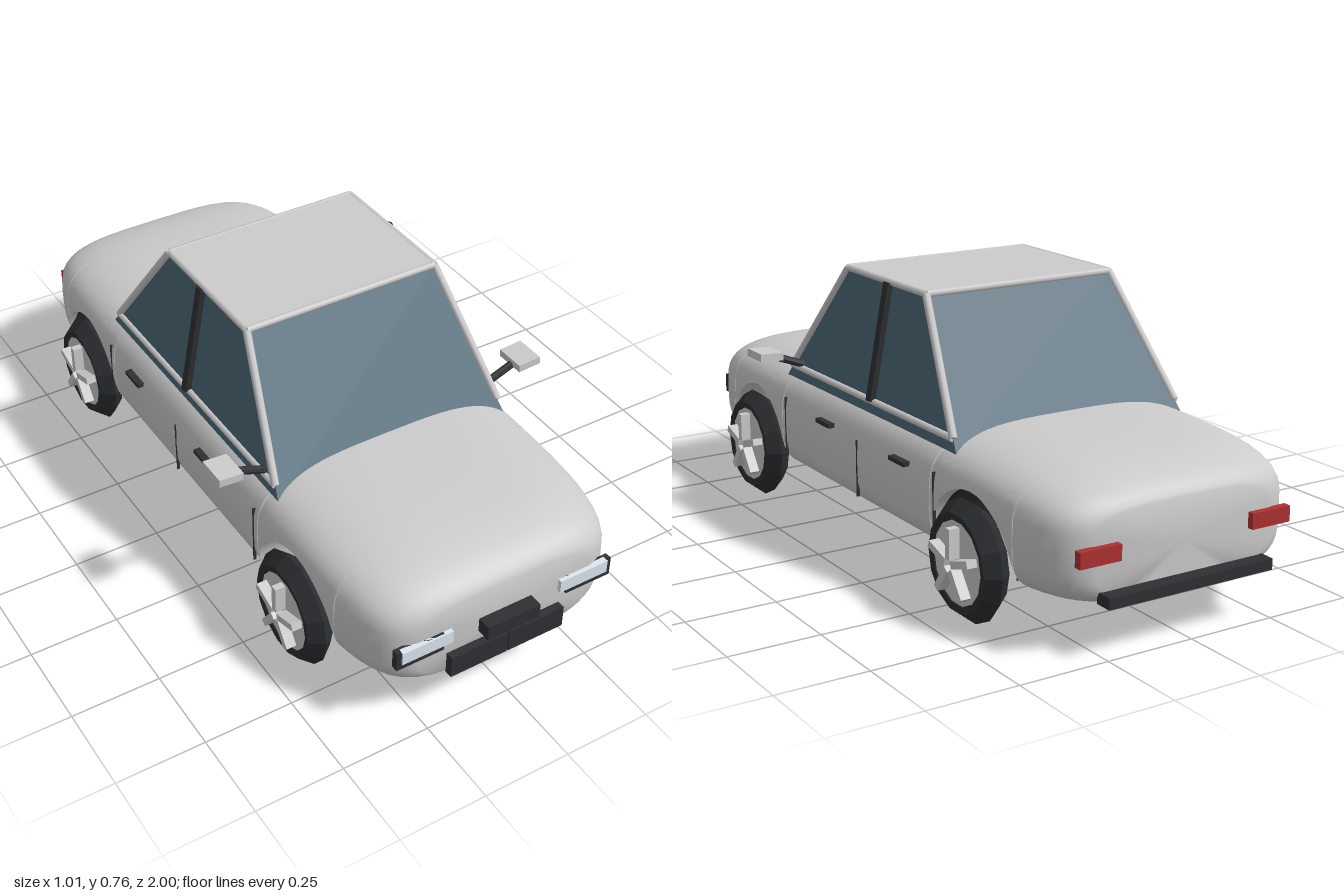
import * as THREE from 'three';
import { toCreasedNormals } from 'three/addons/utils/BufferGeometryUtils.js';
import { ConvexGeometry } from 'three/addons/geometries/ConvexGeometry.js';

const mat = (color, flatShading = false) =>
  new THREE.MeshStandardMaterial({ color, flatShading, side: THREE.DoubleSide });
const V = (x, y, z) => new THREE.Vector3(x, y, z);
const ARCHES = [-0.61, 0.59], AXLE_Y = 0.163, ARCH_R = 0.18;

// One body cross-section: a superellipse that is cut off flat at height yb
function section(z, yb) {
  const N = 44, L = 0.968, cy = 0.27, u = Math.abs(z) / L;
  const w = 0.4 * (1 - u ** 7) ** (1 / 7);
  const up = 0.183 * (1 - u ** 5) ** 0.22, down = 0.16 * (1 - u ** 14) ** (1 / 14);
  let t0 = -Math.PI / 2;
  if (yb !== undefined) {
    const d = yb - cy;
    t0 = d < 0 ? -Math.asin(Math.min(1, -d / down) ** 2) : Math.asin(Math.min(1, d / up) ** 1.75);
  }
  const pts = [];
  for (let i = 0; i <= N; i++) {
    const t = t0 + (Math.PI - 2 * t0) * i / N, c = Math.cos(t), s = Math.sin(t);
    const n = s < 0 ? 4 : 3.5;
    pts.push(V(Math.sign(c) * w * Math.abs(c) ** (2 / n),
      cy + Math.sign(s) * (s < 0 ? down : up) * Math.abs(s) ** (2 / n), z));
  }
  return pts;
}

// Shell lofted from tail to nose, lifted over both pairs of wheels
function bodyGeometry() {
  const ends = [0.96, 0.955, 0.945, 0.93, 0.91, 0.88, 0.84, 0.8];
  const rings = ends.map(z => section(-z));
  ARCHES.forEach((c, k) => {
    rings.push(section(c - ARCH_R));
    for (let i = 0; i <= 18; i++) {
      const a = Math.PI * i / 18;
      rings.push(section(c - ARCH_R * Math.cos(a), AXLE_Y + ARCH_R * Math.sin(a)));
    }
    rings.push(section(c + ARCH_R));
    if (k === 0) for (let z = -0.35; z < 0.4; z += 0.1) rings.push(section(z));
  });
  ends.reverse().forEach(z => rings.push(section(z)));

  const pos = [], tri = (...p) => p.forEach(v => pos.push(v.x, v.y, v.z));
  const n = rings[0].length;
  for (let k = 0; k < rings.length - 1; k++) {
    for (let i = 0; i < n; i++) {
      const j = (i + 1) % n, a = rings[k], b = rings[k + 1];
      tri(a[i], a[j], b[i]);
      tri(a[j], b[j], b[i]);
    }
  }
  const tail = rings[0], nose = rings[rings.length - 1];
  for (let i = 0; i < n; i++) {
    const j = (i + 1) % n;
    tri(V(0, 0.25, nose[0].z), nose[i], nose[j]);
    tri(V(0, 0.25, tail[0].z), tail[j], tail[i]);
  }
  const g = new THREE.BufferGeometry();
  g.setAttribute('position', new THREE.Float32BufferAttribute(pos, 3));
  return toCreasedNormals(g, 0.7);
}

export function createModel() {
  const car = new THREE.Group();
  car.name = 'car';
  const grey = mat(0xcccccc), greyFlat = mat(0xcccccc, true);
  const dark = mat(0x2e3033, true), rubber = mat(0x2a2d30, true), glass = mat(0x4c6877, true);
  const lens = mat(0xdce8f2, true), red = mat(0xb03030, true);

  const add = (name, geo, m, parent = car) => {
    const mesh = new THREE.Mesh(geo, m);
    mesh.name = name;
    parent.add(mesh);
    return mesh;
  };
  const box = (name, m, x, y, z, w, h, d, parent) => {
    const b = add(name, new THREE.BoxGeometry(w, h, d), m, parent);
    b.position.set(x, y, z);
    return b;
  };
  const bar = (name, m, a, b, r) => {
    const c = add(name, new THREE.CylinderGeometry(r, r, a.distanceTo(b), 8), m);
    c.position.copy(a).lerp(b, 0.5);
    c.quaternion.setFromUnitVectors(V(0, 1, 0), b.clone().sub(a).normalize());
    return c;
  };

  add('body', bodyGeometry(), grey);

  // Dark lining over the rear wheels
  const liner = add('rearArchLiner',
    new THREE.CylinderGeometry(0.178, 0.178, 0.74, 18, 1, true, 0, Math.PI), dark);
  liner.rotation.z = Math.PI / 2;
  liner.position.set(0, AXLE_Y, ARCHES[0]);

  // Cabin: glass block, roof panel and frame bars
  const roof = (s, f) => V(s * 0.292, 0.757, f ? 0.185 : -0.24);
  const sill = (s, f) => V(s * 0.352, 0.435, f ? 0.425 : -0.47);
  const corners = [];
  for (const s of [-1, 1]) for (const f of [true, false]) {
    const top = roof(s, f), low = sill(s, f);
    corners.push(top, top.clone().lerp(low, 1.12));
    bar('pillar', grey, top, low, 0.011);
  }
  add('cabinGlass', new ConvexGeometry(corners), glass);
  box('roofPanel', greyFlat, 0, 0.758, -0.0275, 0.584, 0.014, 0.425);
  for (const f of [true, false]) bar('roofCrossRail', grey, roof(-1, f), roof(1, f), 0.01);

  for (const s of [-1, 1]) {
    bar('roofSideRail', grey, roof(s, true), roof(s, false), 0.01);
    bar('windowSill', grey, sill(s, true), sill(s, false), 0.01);
    bar('centrePillar', dark, V(s * 0.293, 0.755, -0.05), V(s * 0.353, 0.435, -0.05), 0.018);

    // Door seams and handles
    for (const [z, y, h] of [[0.39, 0.26, 0.18], [-0.045, 0.25, 0.16], [-0.45, 0.28, 0.14]])
      box('doorSeam', dark, s * 0.397, y, z, 0.008, h, 0.004);
    for (const z of [0.13, -0.285])
      box('doorHandle', dark, s * 0.403, 0.337, z, 0.022, 0.012, 0.08);

    // Wing mirror
    bar('mirrorArm', dark, V(s * 0.35, 0.448, 0.37), V(s * 0.455, 0.488, 0.37), 0.011);
    const head = box('mirrorHead', greyFlat, s * 0.47, 0.493, 0.365, 0.07, 0.022, 0.09);
    head.rotation.z = s * 0.06;

    // Lamps
    box('headlampHousing', dark, s * 0.26, 0.256, 0.957, 0.14, 0.056, 0.02);
    box('headlampLens', lens, s * 0.241, 0.265, 0.963, 0.15, 0.038, 0.018);
    box('tailLamp', red, s * 0.26, 0.263, -0.967, 0.12, 0.042, 0.022);
  }

  // Nose and tail trim
  box('upperGrille', dark, 0, 0.251, 0.978, 0.16, 0.042, 0.044);
  for (const s of [-1, 1])
    box('lowerGrille', dark, s * 0.088, 0.168, 0.968, 0.173, 0.065, 0.03);
  box('rearBumper', dark, 0, 0.15, -0.975, 0.5, 0.03, 0.05);

  // Wheels: faceted tyre, rim disc and five spokes
  const tyreProfile = [[0.1, -0.035], [0.13, -0.037], [0.16, 0], [0.13, 0.037], [0.112, 0.035],
    [0.1, 0.02]].map(([r, y]) => new THREE.Vector2(r, y));
  for (const s of [-1, 1]) for (const z of ARCHES) {
    const wheel = new THREE.Group();
    wheel.name = 'wheel';
    wheel.position.set(s * 0.395, AXLE_Y, z);
    wheel.rotation.y = s > 0 ? 0 : Math.PI;
    add('tyre', new THREE.LatheGeometry(tyreProfile, 14), rubber, wheel).rotation.z = -Math.PI / 2;
    add('rim', new THREE.CylinderGeometry(0.113, 0.113, 0.064, 20), greyFlat, wheel)
      .rotation.z = Math.PI / 2;
    for (let i = 0; i < 5; i++) {
      const arm = new THREE.Group();
      arm.name = 'spokeArm';
      arm.rotation.x = i * Math.PI * 2 / 5;
      box('spoke', greyFlat, 0.046, 0.055, 0, 0.03, 0.08, 0.02, arm);
      wheel.add(arm);
    }
    car.add(wheel);
  }
  return car;
}
